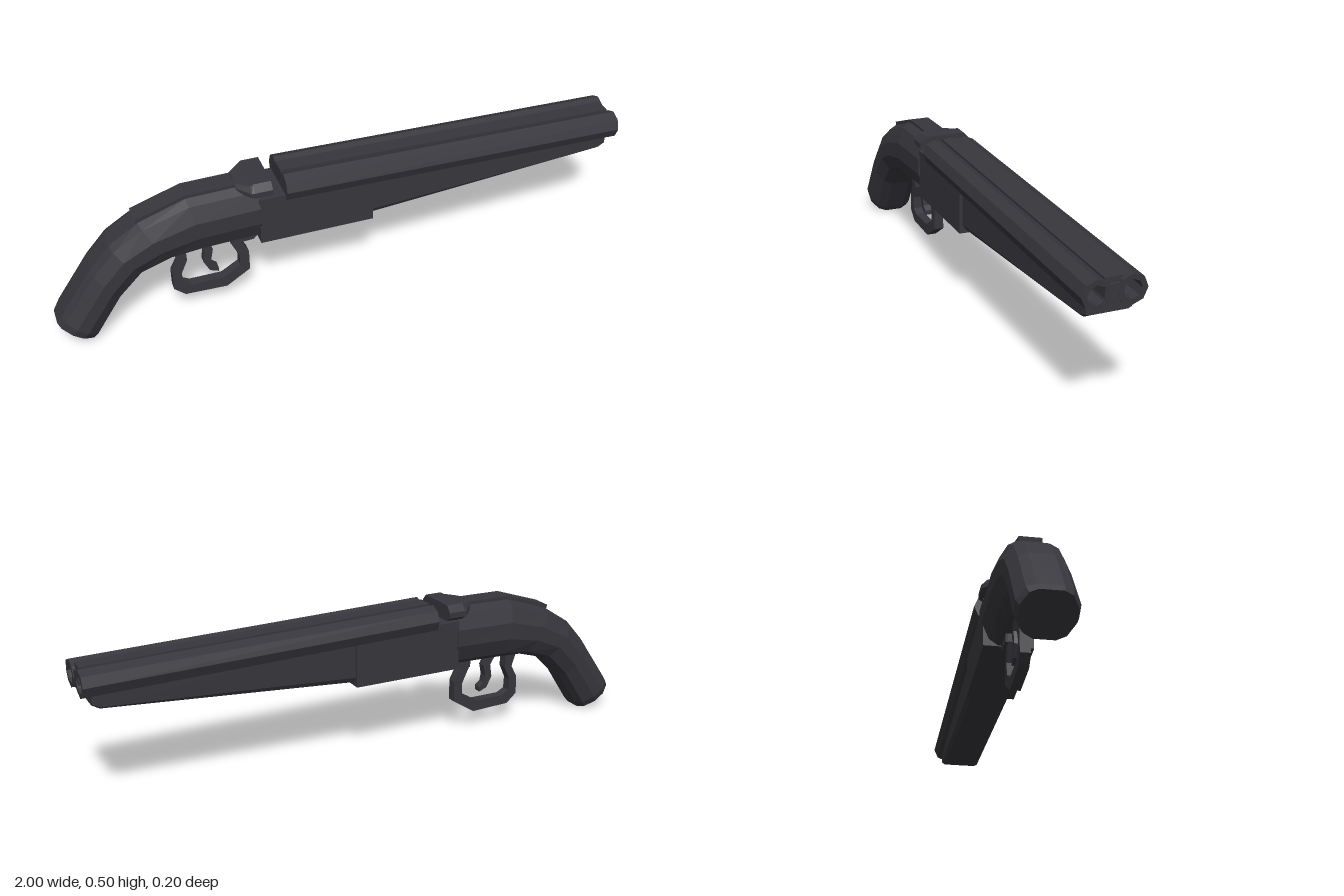
import * as THREE from 'three';

const steel = new THREE.MeshStandardMaterial({ color: 0x36363c, flatShading: true });
steel.name = 'dark steel';

// Loft along x. half: [z, u] points from bottom to top on the +z side, mirrored to -z.
// sections: [bottomX, bottomY, topX, topY, widthScale]
function loft(name, half, sections) {
  const profile = [...half, ...half.slice().reverse().map(([z, u]) => [-z, u])];
  const n = profile.length, pos = [], index = [];
  for (const [bx, by, tx, ty, s = 1] of sections)
    for (const [z, u] of profile) pos.push(bx + (tx - bx) * u, by + (ty - by) * u, z * s);
  const last = (sections.length - 1) * n;
  for (let i = 0; i < last; i += n)
    for (let j = 0; j < n; j++) {
      const k = (j + 1) % n;
      index.push(i + j, i + n + j, i + n + k, i + j, i + n + k, i + k);
    }
  for (let j = 1; j < n - 1; j++) index.push(0, j, j + 1, last, last + j + 1, last + j);
  const g = new THREE.BufferGeometry();
  g.setAttribute('position', new THREE.Float32BufferAttribute(pos, 3));
  g.setIndex(index);
  g.computeVertexNormals();
  const mesh = new THREE.Mesh(g, steel);
  mesh.name = name;
  return mesh;
}

// Flat outline in xy, extruded evenly to both sides of z = 0
function plate(name, points, width) {
  const shape = new THREE.Shape(points.map(([x, y]) => new THREE.Vector2(x, y)));
  const g = new THREE.ExtrudeGeometry(shape, { depth: width, bevelEnabled: false });
  g.translate(0, 0, -width / 2);
  const mesh = new THREE.Mesh(g, steel);
  mesh.name = name;
  return mesh;
}

export function createModel() {
  const group = new THREE.Group();
  group.name = 'doubleBarrelModel';

  // Curved grip and stock
  const stockHalf = [[0.035, 0], [0.066, 0.1], [0.09, 0.38], [0.09, 0.66], [0.066, 0.92], [0.038, 1]];
  group.add(loft('stock', stockHalf, [
    [-0.88, 0.005, -1.0, 0.09, 0.9],
    [-0.865, 0.025, -0.985, 0.115, 1],
    [-0.78, 0.155, -0.87, 0.28, 1],
    [-0.70, 0.235, -0.80, 0.36, 1],
    [-0.60, 0.265, -0.70, 0.425, 1],
    [-0.50, 0.27, -0.54, 0.48, 1],
    [-0.30, 0.275, -0.31, 0.485, 0.98],
  ]));

  // Raised strap along the top of the stock
  group.add(loft('topStrap', [[0.036, 0], [0.036, 1]], [
    [-0.70, 0.40, -0.71, 0.435],
    [-0.54, 0.46, -0.54, 0.491],
    [-0.35, 0.46, -0.35, 0.494],
  ]));

  // Receiver and its stepped rear bridge
  group.add(loft('receiver', [[0.083, 0], [0.083, 1]], [
    [-0.31, 0.272, -0.31, 0.445],
    [-0.2, 0.272, -0.2, 0.445],
    [0.085, 0.272, 0.085, 0.435],
  ]));

  // Breech latch
  group.add(loft('breechLatch', [[0.07, 0], [0.09, 0.25], [0.09, 0.6], [0.07, 1]], [
    [-0.375, 0.465, -0.375, 0.497, 0.5],
    [-0.335, 0.455, -0.335, 0.5, 1],
    [-0.325, 0.45, -0.325, 0.506, 1.03],
    [-0.265, 0.45, -0.265, 0.506, 1.03],
  ]));

  // Tapered fore-end
  group.add(loft('foreEnd', [[0.062, 0], [0.073, 0.12], [0.073, 1]], [
    [0.08, 0.285, 0.08, 0.44],
    [0.945, 0.352, 0.945, 0.415],
    [0.97, 0.366, 0.97, 0.41, 0.97],
  ]));

  // Hollow octagonal barrels
  const start = new THREE.Vector3(-0.22, 0.462, 0), end = new THREE.Vector3(1, 0.437, 0);
  const length = start.distanceTo(end);
  const barrelProfile = [
    [0, 0], [0.047, 0], [0.047, length], [0.03, length], [0.03, length - 0.12], [0, length - 0.12],
  ].map(([r, y]) => new THREE.Vector2(r, y));
  for (const side of [1, -1]) {
    const barrel = new THREE.Mesh(new THREE.LatheGeometry(barrelProfile, 8), steel);
    barrel.name = side > 0 ? 'leftBarrel' : 'rightBarrel';
    barrel.position.copy(start).setZ(0.054 * side);
    barrel.quaternion.setFromUnitVectors(new THREE.Vector3(0, 1, 0), end.clone().sub(start).normalize());
    group.add(barrel);
  }

  // Web and sighting rib between the barrels
  group.add(loft('barrelWeb', [[0.03, 0], [0.03, 1]], [
    [-0.22, 0.435, -0.22, 0.485],
    [0.998, 0.408, 0.998, 0.462],
  ]));
  group.add(loft('sightRib', [[0.028, 0], [0.028, 1]], [
    [-0.22, 0.465, -0.22, 0.507],
    [0.99, 0.44, 0.99, 0.48],
  ]));

  // Trigger guard loop, its front foot and the trigger
  group.add(plate('triggerGuard', [
    [-0.6, 0.275], [-0.58, 0.215], [-0.603, 0.17], [-0.603, 0.105], [-0.565, 0.072], [-0.42, 0.067],
    [-0.337, 0.12], [-0.337, 0.195], [-0.362, 0.245], [-0.36, 0.275], [-0.4, 0.275], [-0.398, 0.245],
    [-0.37, 0.185], [-0.37, 0.143], [-0.43, 0.107], [-0.542, 0.107], [-0.57, 0.122], [-0.572, 0.165],
    [-0.55, 0.215], [-0.552, 0.275],
  ], 0.034));
  group.add(plate('guardFoot', [
    [-0.4, 0.285], [-0.395, 0.245], [-0.32, 0.25], [-0.305, 0.265], [-0.305, 0.285],
  ], 0.05));
  group.add(plate('trigger', [
    [-0.515, 0.28], [-0.488, 0.235], [-0.495, 0.19], [-0.475, 0.15], [-0.445, 0.138],
    [-0.445, 0.155], [-0.463, 0.17], [-0.468, 0.195], [-0.46, 0.235], [-0.48, 0.28],
  ], 0.03));

  return group;
}
